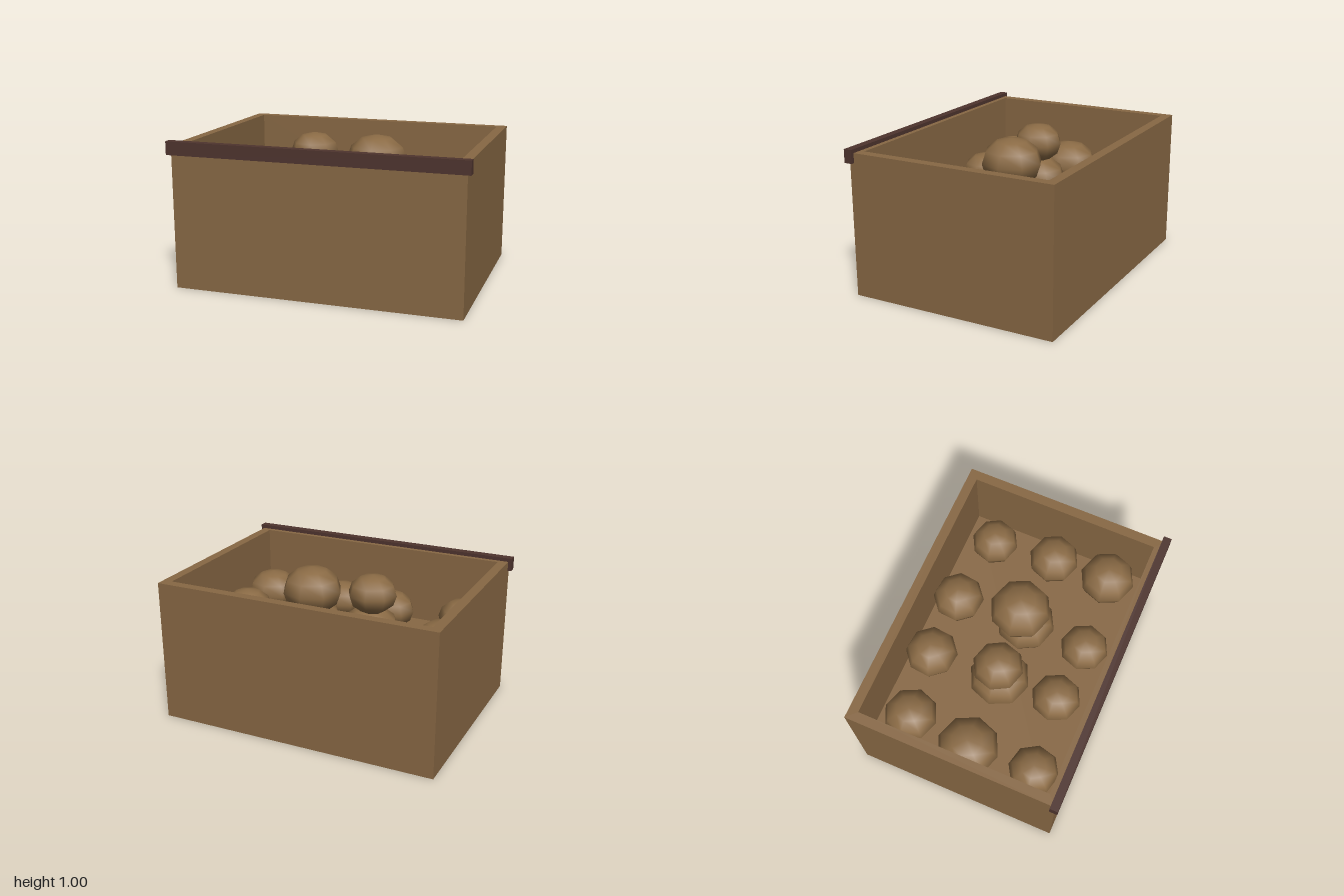
import * as THREE from 'three';

const flat = (name, color) => {
  const m = new THREE.MeshStandardMaterial({ color });
  m.name = name;
  return m;
};

export function createModel() {
  const wood = flat('crate wood', 0x886844);
  const dark = flat('dark wood', 0x4e342e);
  const skin = flat('brown skin', 0x8b6b45);

  const model = new THREE.Group();
  const add = (name, geometry, material, x = 0, y = 0, z = 0, parent = model) => {
    const mesh = new THREE.Mesh(geometry, material);
    mesh.name = name;
    mesh.position.set(x, y, z);
    parent.add(mesh);
    return mesh;
  };

  // Crate walls: rectangular ring extruded upwards
  const height = 0.975, depth = 1.435, wall = 0.065, midZ = -0.0125, floorY = 0.45;
  const rectangle = (Path, w, d) => new Path([
    new THREE.Vector2(-w / 2, -d / 2), new THREE.Vector2(w / 2, -d / 2),
    new THREE.Vector2(w / 2, d / 2), new THREE.Vector2(-w / 2, d / 2),
  ]);
  const innerW = 1.95 - 2 * wall, innerD = depth - 2 * wall;
  const ring = rectangle(THREE.Shape, 1.95, depth);
  ring.holes.push(rectangle(THREE.Path, innerW, innerD));
  const walls = new THREE.ExtrudeGeometry(ring, { depth: height, bevelEnabled: false });
  add('crateWalls', walls.rotateX(-Math.PI / 2), wood, 0, 0, midZ);

  // Raised floor that carries the produce
  add('crateFloor', new THREE.BoxGeometry(innerW, floorY, innerD), wood, 0, floorY / 2, midZ);

  // Dark rail along the front rim
  add('frontRail', new THREE.BoxGeometry(2, 0.09, 0.055), dark, 0, 0.955, 0.7025);

  // Slightly flattened tubers: x, y, z, radius, turn
  const tubers = new THREE.Group();
  tubers.name = 'tubers';
  model.add(tubers);
  const ball = new THREE.SphereGeometry(1, 8, 6);
  [
    [-0.705, 0.59, -0.44, 0.183, 0.05], [-0.245, 0.59, -0.5, 0.18, 0.3],
    [0.2, 0.59, -0.5, 0.178, 0.3], [0.7, 0.59, -0.44, 0.165, 0.1],
    [-0.75, 0.57, 0, 0.212, 0.05], [-0.225, 0.59, 0, 0.208, 0.05],
    [0.215, 0.59, 0.005, 0.205, 0.1], [0.74, 0.59, 0, 0.177, 0.05],
    [-0.73, 0.59, 0.465, 0.17, 0.15], [-0.21, 0.59, 0.41, 0.17, 0.05],
    [0.2, 0.59, 0.45, 0.167, 0.05], [0.75, 0.59, 0.405, 0.192, 0.05],
    [-0.24, 0.85, 0, 0.17, 0.1], [0.2, 0.82, -0.03, 0.21, 0.05],
  ].forEach(([x, y, z, r, turn]) => {
    const tuber = add('tuber', ball, skin, x, y, z, tubers);
    tuber.scale.set(r, r * 0.79, r);
    tuber.rotation.y = turn;
  });

  return model;
}
